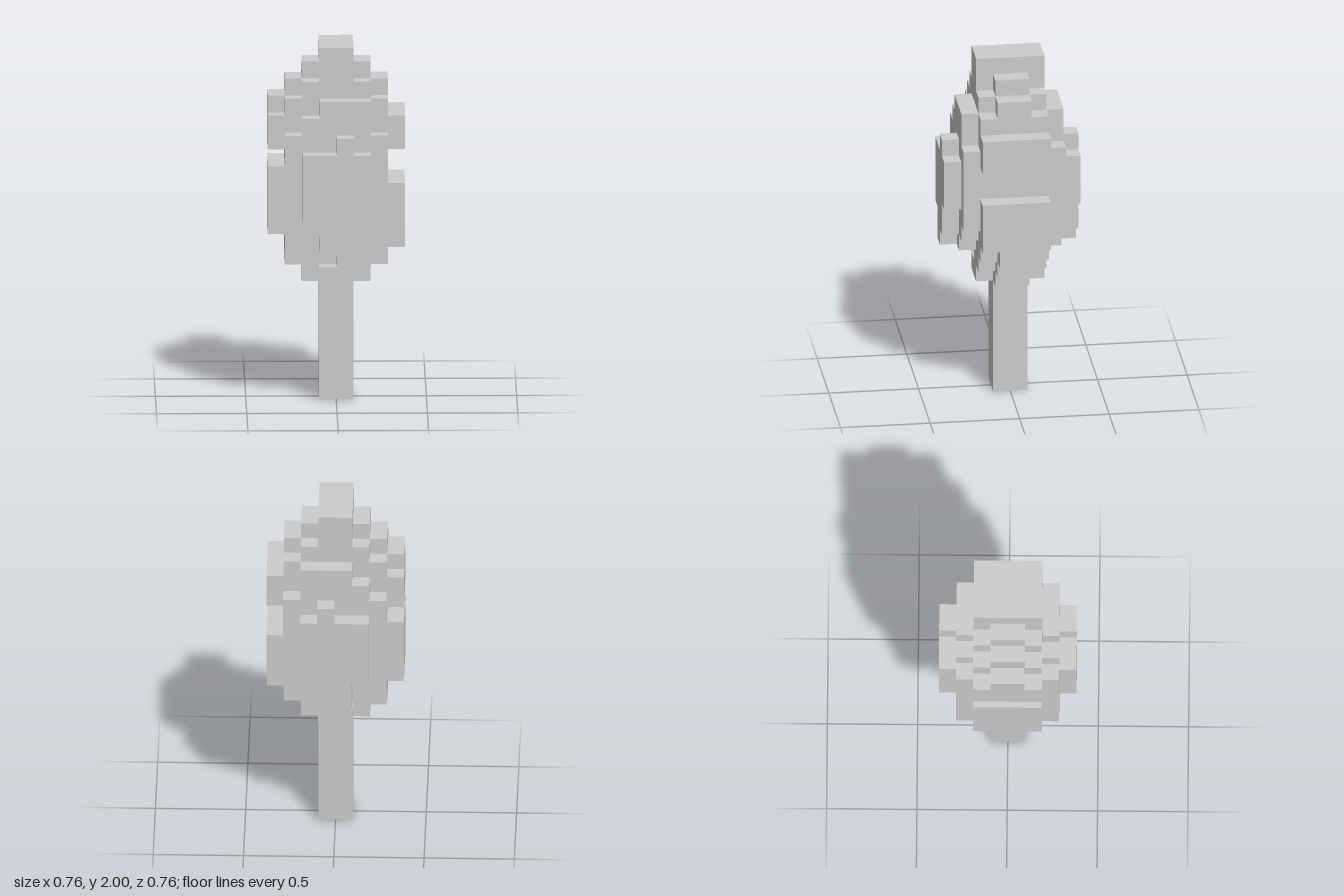
import * as THREE from 'three';

const U = 2 / 21; // size of one block
const mat = new THREE.MeshStandardMaterial({ color: 0xcccccc, flatShading: true });

function add(group, name, geo) {
  geo.scale(U, U, U);
  const mesh = new THREE.Mesh(geo, mat);
  mesh.name = name;
  group.add(mesh);
}

// Box from its corner limits, in blocks
function block(group, name, x0, x1, y0, y1, z0, z1) {
  const geo = new THREE.BoxGeometry(x1 - x0, y1 - y0, z1 - z0);
  geo.translate((x0 + x1) / 2, (y0 + y1) / 2, (z0 + z1) / 2);
  add(group, name, geo);
}

// Stepped slab: one [bottom, top] pair per block column, starting at x0
function slab(group, name, x0, columns, z0, z1) {
  const pts = [];
  const push = (x, y) => {
    const p = pts[pts.length - 1];
    if (!p || p.x !== x || p.y !== y) pts.push(new THREE.Vector2(x, y));
  };
  columns.forEach(([b], i) => { push(x0 + i, b); push(x0 + i + 1, b); });
  for (let i = columns.length - 1; i >= 0; i--) {
    push(x0 + i + 1, columns[i][1]);
    push(x0 + i, columns[i][1]);
  }
  const geo = new THREE.ExtrudeGeometry(new THREE.Shape(pts), { depth: z1 - z0, bevelEnabled: false });
  geo.translate(0, 0, z0);
  add(group, name, geo);
}

export function createModel() {
  const tree = new THREE.Group();
  tree.name = 'blockTree';

  block(tree, 'trunk', -1, 1, 0, 7, -1, 1);

  const foliage = new THREE.Group();
  foliage.name = 'foliage';
  tree.add(foliage);

  // Middle of the crown
  slab(foliage, 'crownCore', -3, [[8, 19], [7, 20], [7, 21], [7, 21], [7, 20], [8, 19]], -1, 1);

  // Stepped layers, thinning towards the front and the back
  const layers = [
    ['innerFoliage', -3, [[9, 18], [8, 19], [9, 21], [7, 21], [8, 19], [9, 18]]],
    ['middleFoliage', -3, [[9, 16], [10, 17], [9, 18], [9, 18], [10, 18], [11, 16]]],
    ['outerFoliage', -2, [[11, 15], [9, 15], [10, 16], [12, 15]]],
  ];
  layers.forEach(([name, x0, columns], i) => {
    slab(foliage, name + 'Front', x0, columns, i + 1, i + 2);
    slab(foliage, name + 'Back', x0, columns, -i - 2, -i - 1);
  });

  // Single blocks below the small recess
  block(foliage, 'lowerLeafFront', -1, 0, 7, 8, 1, 2);
  block(foliage, 'lowerLeafBack', -1, 0, 7, 8, -2, -1);

  // Clumps on the two sides
  block(foliage, 'leftUpperClump', 3, 4, 15, 17, -2, 2);
  block(foliage, 'leftLowerClump', 3, 4, 10, 13, -2, 2);
  block(foliage, 'leftLowerClumpStep', 3, 4, 9, 10, -1, 1);
  block(foliage, 'rightUpperClump', -4, -3, 15, 17, -2, 2);
  block(foliage, 'rightUpperClumpStep', -4, -3, 17, 18, -1, 1);
  block(foliage, 'rightLowerClump', -4, -3, 10, 14, -2, 2);

  return tree;
}
